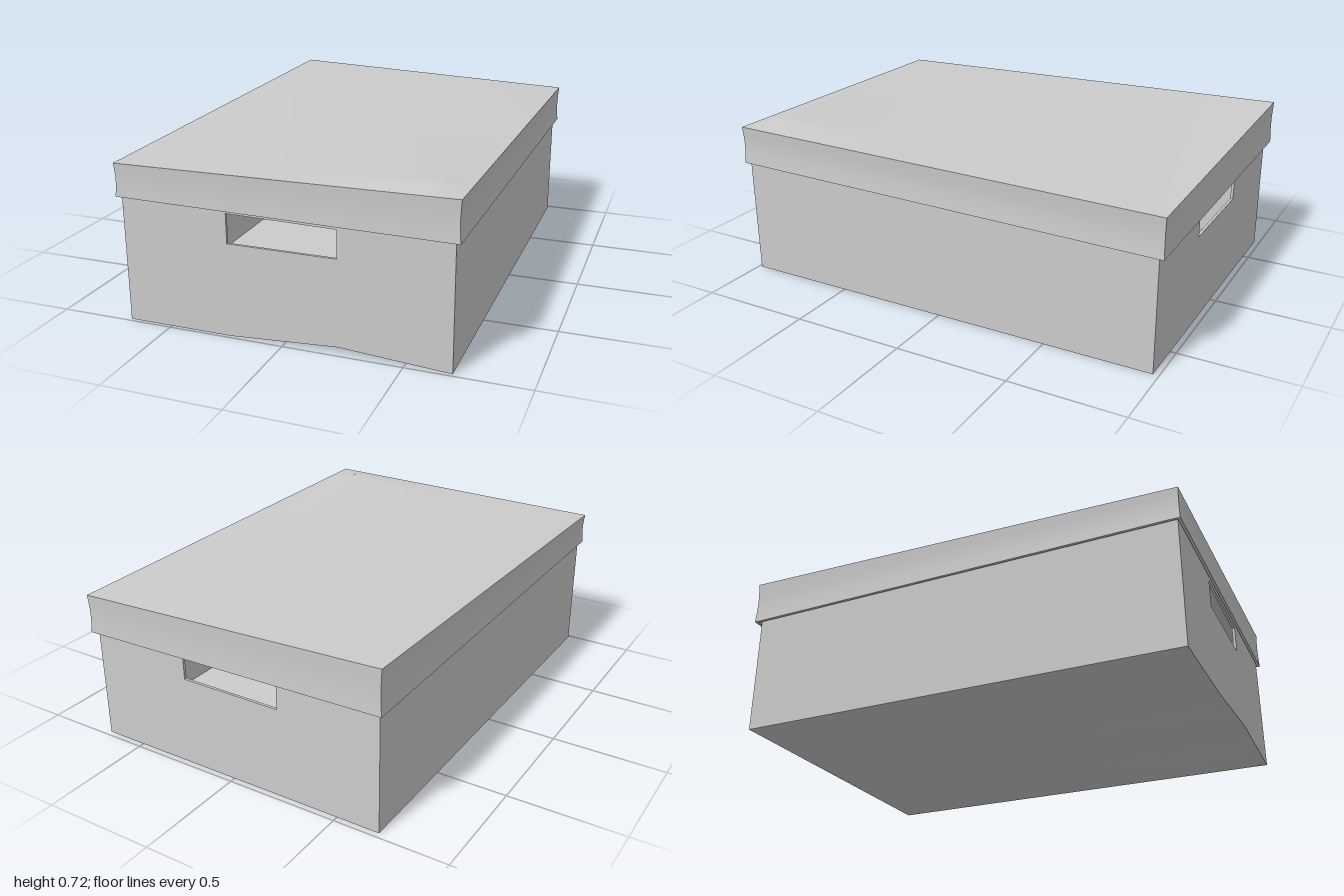
import * as THREE from 'three';

const material = new THREE.MeshStandardMaterial({ color: 0xcccccc, side: THREE.DoubleSide });
const W = 0.69, FRONT = 0.985, BACK = -0.975, WALL = 0.012, TOP = 0.64;
const lerp = THREE.MathUtils.lerp;

// Height that varies evenly between the four corners of the lid
const corners = (bl, br, fl, fr) => (x, z) => {
  const u = (x + 0.71) / 1.42, v = (z + 1) / 2;
  return lerp(lerp(bl, br, u), lerp(fl, fr, u), v);
};
const rimHeight = corners(0.525, 0.497, 0.54, 0.525);
const topHeight = corners(0.72, 0.667, 0.68, 0.694);

// Tent-shaped bump rising from a to the peak p and falling to b
const tent = (t, a, p, b) => Math.max(0, Math.min((t - a) / (p - a), (b - t) / (b - p)));

function warp(geometry, rule) {
  const pos = geometry.attributes.position, v = new THREE.Vector3();
  for (let i = 0; i < pos.count; i++) {
    v.fromBufferAttribute(pos, i);
    rule(v);
    pos.setXYZ(i, v.x, v.y, v.z);
  }
  geometry.computeVertexNormals();
  return geometry;
}

// Box between two corners
function slab(x0, x1, y0, y1, z0, z1, sx = 1, sy = 1, sz = 1) {
  return new THREE.BoxGeometry(x1 - x0, y1 - y0, z1 - z0, sx, sy, sz)
    .translate((x0 + x1) / 2, (y0 + y1) / 2, (z0 + z1) / 2);
}

function add(group, name, geometry) {
  const mesh = new THREE.Mesh(geometry, material);
  mesh.name = name;
  group.add(mesh);
}

// End wall with a hand hole; its lower edge can be bent upward
function endWall(lift, z) {
  const shape = new THREE.Shape();
  shape.moveTo(-W, 0);
  shape.lineTo(-0.23, 0);
  shape.lineTo(0.23, lift);
  shape.lineTo(W, 0);
  shape.lineTo(W, TOP);
  shape.lineTo(-W, TOP);
  shape.closePath();
  const hole = new THREE.Path();
  hole.moveTo(-0.23, 0.397);
  hole.lineTo(-0.23, 0.522);
  hole.lineTo(0.23, 0.515);
  hole.lineTo(0.23, 0.397);
  hole.closePath();
  shape.holes.push(hole);
  return new THREE.ExtrudeGeometry(shape, { depth: WALL, bevelEnabled: false }).translate(0, 0, z);
}

function createBody() {
  const body = new THREE.Group();
  body.name = 'boxBody';
  add(body, 'frontWall', endWall(0.03, FRONT - WALL));
  add(body, 'backWall', endWall(0, BACK));
  add(body, 'leftWall', slab(W - WALL, W, 0, TOP, BACK + WALL, FRONT - WALL));
  add(body, 'rightWall', slab(-W, WALL - W, 0, TOP, BACK + WALL, FRONT - WALL));
  // Floor follows the bent front edge
  const floor = slab(-W, W, 0, WALL, BACK + 0.001, FRONT - 0.001, 6, 1, 1);
  add(body, 'floor', warp(floor, v => {
    v.y += 0.03 * tent(v.x, -0.23, 0.23, W) * (v.z - BACK) / (FRONT - BACK);
  }));
  return body;
}

function createLid() {
  const lid = new THREE.Group();
  lid.name = 'lid';
  // Flat lid modelled with y from 0 (rim) to 1 (top), then sagged and twisted
  const bend = v => {
    const bump = 0.02 * tent(v.x, 0, 0.56, 0.71) * tent(v.z, 0.2, 0.9, 1);
    const pinch = 1 - 0.007 * Math.sin(Math.PI * v.y);
    v.y = lerp(rimHeight(v.x, v.z), topHeight(v.x, v.z) + bump, v.y);
    v.x *= pinch;
    v.z *= lerp(1, pinch, 0.4);
  };
  const X = 0.71, Z = 1;
  add(lid, 'lidTop', warp(slab(-X, X, 0.93, 1, -Z, Z, 28, 1, 40), bend));
  for (const [side, s] of [['left', 1], ['right', -1]]) {
    const a = s * X, b = s * (X - WALL);
    add(lid, side + 'Rim', warp(slab(Math.min(a, b), Math.max(a, b), 0, 0.95, -Z, Z, 1, 6, 20), bend));
  }
  for (const [side, s] of [['front', 1], ['back', -1]]) {
    const a = s * Z, b = s * (Z - WALL);
    add(lid, side + 'Rim', warp(slab(-X, X, 0, 0.95, Math.min(a, b), Math.max(a, b), 20, 6, 1), bend));
  }
  return lid;
}

export function createModel() {
  const model = new THREE.Group();
  model.name = 'storageBox';
  model.add(createBody(), createLid());
  return model;
}
